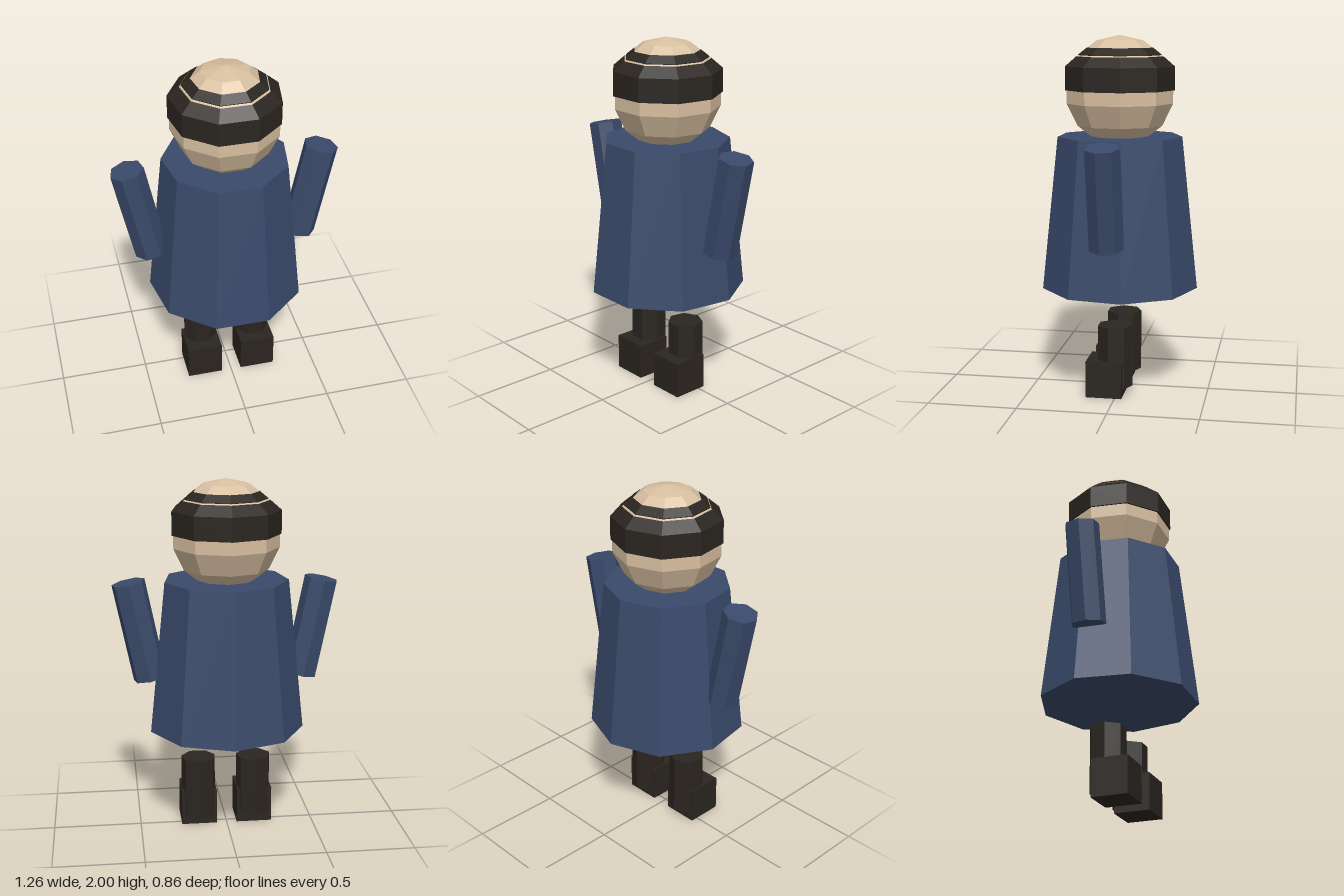
import * as THREE from 'three';

const material = (color, extra = {}) =>
  new THREE.MeshStandardMaterial({ color, flatShading: true, ...extra });

const Z = 0.012; // shared depth of the body axis

export function createModel() {
  const model = new THREE.Group();
  const coat = material(0x3a4a6b);
  const skin = material(0xd8bfa0);
  const dark = material(0x2a2520);
  const hatDark = material(0x2a2520, { side: THREE.DoubleSide });

  const add = (name, geometry, mat, x, y, z = Z) => {
    const mesh = new THREE.Mesh(geometry, mat);
    mesh.name = name;
    mesh.position.set(x, y, z);
    model.add(mesh);
    return mesh;
  };

  // Prism with a corner at the back and a flat face at the front
  const prism = (top, bottom, height, sides) =>
    new THREE.CylinderGeometry(top, bottom, height, sides).rotateY(Math.PI);

  // Nine-sided ring turned from a profile, aligned with the coat
  const ring = (points) =>
    new THREE.LatheGeometry(points.map(([r, y]) => new THREE.Vector2(r, y)), 9).rotateY(Math.PI);

  // Flared coat
  add('coat', prism(0.35, 0.441, 0.855, 9), coat, 0, 1.0175);

  // Faceted head
  add('head', new THREE.SphereGeometry(0.305, 9, 7).rotateY(-Math.PI / 2), skin, 0, 1.695);

  // Hat: upright band with a sloping shoulder, then a narrow upper ring
  add('hatBand', ring([[0.28, 1.7], [0.306, 1.7], [0.306, 1.83], [0.243, 1.884], [0.236, 1.875]]), hatDark, 0, 0);
  add('hatUpperRing', ring([[0.232, 1.88], [0.232, 1.894], [0.185, 1.931], [0.18, 1.925]]), hatDark, 0, 0);

  // Arms, legs and boots, mirrored
  for (const [side, s] of [['left', 1], ['right', -1]]) {
    const arm = add(side + 'Arm', prism(0.095, 0.095, 0.56, 7), coat, s * 0.485, 1.163);
    arm.rotation.z = -s * 0.2;
    add(side + 'Leg', prism(0.1, 0.1, 0.35, 7), dark, s * 0.16, 0.225);
    add(side + 'Boot', new THREE.BoxGeometry(0.203, 0.205, 0.203), dark, s * 0.16, 0.1025, 0.062);
  }

  return model;
}
